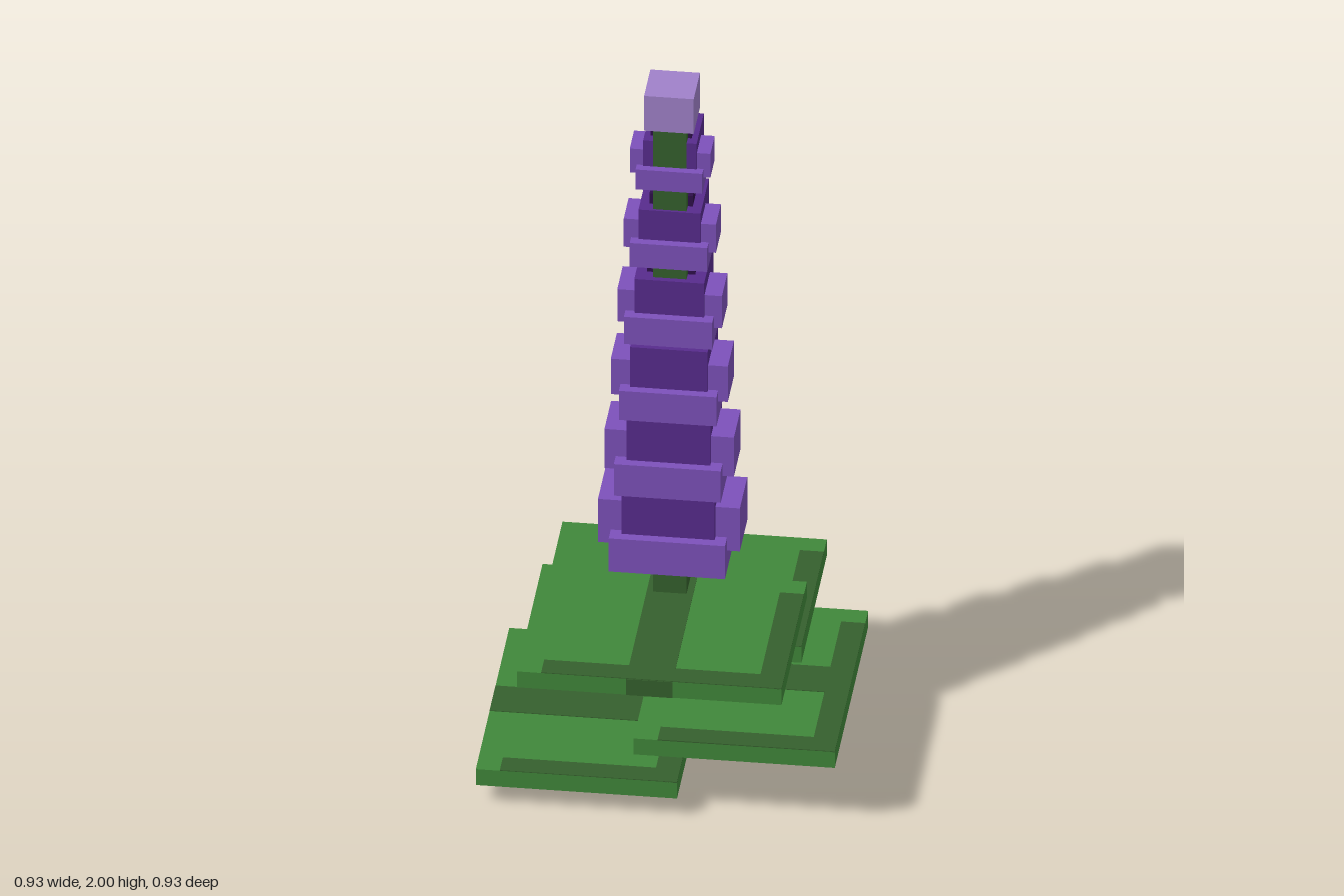
import * as THREE from 'three';

const mat = (name, color) => {
  const m = new THREE.MeshStandardMaterial({ color });
  m.name = name;
  return m;
};

export function createModel() {
  const leafGreen = mat('leafGreen', 0x40873a);
  const darkGreen = mat('darkGreen', 0x35602d);
  const violet = mat('violet', 0x7d51ba);
  const deepViolet = mat('deepViolet', 0x572b8d);
  const darkestViolet = mat('darkestViolet', 0x2e0f4a);
  const lilac = mat('lilac', 0xa081c9);

  const model = new THREE.Group();
  model.name = 'flowerSpike';

  // Box given by its limits on each axis
  const box = (parent, name, material, [x0, x1], [y0, y1], [z0, z1]) => {
    const mesh = new THREE.Mesh(new THREE.BoxGeometry(x1 - x0, y1 - y0, z1 - z0), material);
    mesh.position.set((x0 + x1) / 2, (y0 + y1) / 2, (z0 + z1) / 2);
    mesh.name = name;
    parent.add(mesh);
  };

  // Stem and top bud
  box(model, 'stem', darkGreen, [-0.043, 0.043], [0, 1.9], [-0.043, 0.043]);
  box(model, 'topBud', lilac, [-0.064, 0.064], [1.895, 2], [-0.064, 0.064]);

  // Four flat leaves, each with a midrib and two dark margins
  const wide = [-0.341, 0.341], plus = [-0.056, 0.463], minus = [-0.463, 0.056];
  const leaves = [
    ['rightLeaf', 0.08, minus, wide],
    ['leftLeaf', 0.205, plus, wide],
    ['backLeaf', 0.335, wide, minus],
    ['frontLeaf', 0.462, wide, plus],
  ];
  for (const [name, y, x, z] of leaves) {
    const leaf = new THREE.Group();
    leaf.name = name;
    model.add(leaf);
    const e = 0.002, m = 0.062, top = y + 0.024;
    const plate = [top - 0.001, top + e];
    box(leaf, 'blade', leafGreen, x, [y - 0.024, top], z);
    box(leaf, 'sideMargin', darkGreen, [x[1] - m, x[1]], plate, [z[0] + m, z[1]]);
    box(leaf, 'endMargin', darkGreen, [x[0] + m, x[1] - m], plate, [z[1] - m, z[1]]);
    if (x === wide) {
      box(leaf, 'midrib', darkGreen, [-0.06, 0.06], plate, [z[0], z[1] - m]);
      // Midrib carried over both ends of the blade
      for (const end of z) {
        box(leaf, 'midribEnd', darkGreen, [-0.06, 0.06], [y - 0.024, top], [end - e, end + e]);
      }
    } else {
      box(leaf, 'midrib', darkGreen, [x[0], x[1] - m], plate, [-0.06, 0.06]);
    }
  }

  // Flower whorls: [half width, y range, z range] for base, side petals, hood and heart
  const whorls = [
    [[0.15, 0.58, 0.68, -0.15, 0.106], [0.183, 0.64, 0.77, -0.088, 0.063],
      [0.12, 0.68, 0.82, -0.182, 0.08], [0.085, 0.8, 0.865, -0.16, 0.02]],
    [[0.138, 0.805, 0.9, -0.135, 0.097], [0.167, 0.862, 0.98, -0.078, 0.058],
      [0.108, 0.9, 1.03, -0.166, 0.073], [0.077, 1.01, 1.07, -0.146, 0.02]],
    [[0.126, 1.03, 1.118, -0.123, 0.089], [0.151, 1.085, 1.192, -0.07, 0.055],
      [0.1, 1.115, 1.238, -0.15, 0.066], [0.07, 1.22, 1.27, -0.134, 0.02]],
    [[0.114, 1.256, 1.338, -0.112, 0.081], [0.135, 1.303, 1.4, -0.062, 0.049],
      [0.09, 1.33, 1.44, -0.135, 0.058], [0.062, 1.42, 1.475, -0.121, 0.018]],
    [[0.1, 1.485, 1.557, -0.1, 0.072], [0.119, 1.527, 1.612, -0.055, 0.044],
      [0.08, 1.545, 1.646, -0.12, 0.05], [0.056, 1.63, 1.677, -0.109, 0.018]],
    [[0.086, 1.715, 1.775, -0.086, 0.063], [0.104, 1.75, 1.822, -0.048, 0.039],
      [0.069, 1.77, 1.852, -0.104, 0.043], [0.053, 1.84, 1.882, -0.097, 0.018]],
  ];
  const parts = [['basePetals', violet], ['sidePetals', violet],
    ['hood', deepViolet], ['heart', darkestViolet]];
  whorls.forEach((whorl, i) => {
    const group = new THREE.Group();
    group.name = `whorl${i + 1}`;
    model.add(group);
    whorl.forEach(([w, y0, y1, z0, z1], k) =>
      box(group, parts[k][0], parts[k][1], [-w, w], [y0, y1], [z0, z1]));
  });

  return model;
}
